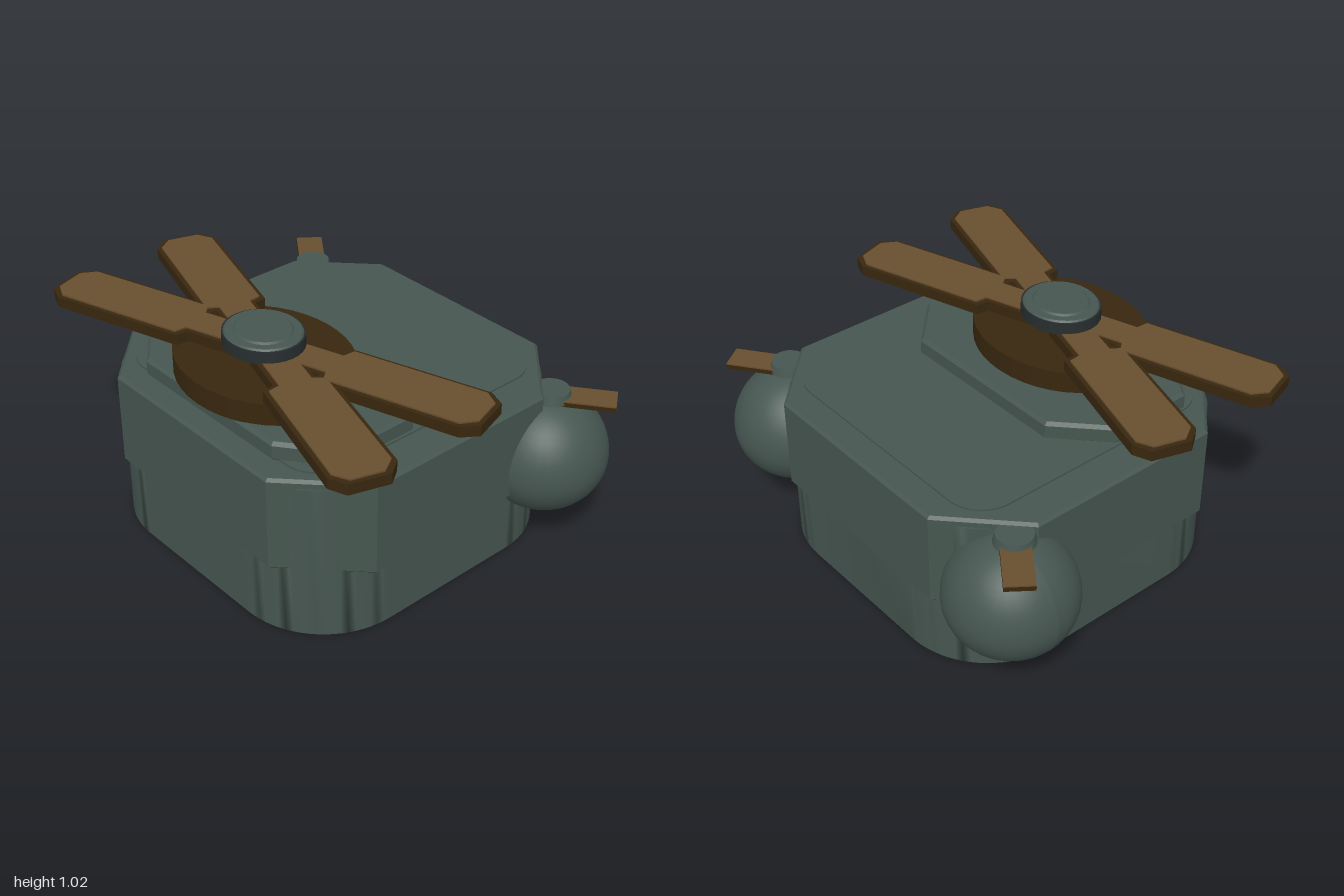
import * as THREE from 'three';
import { mergeVertices, toCreasedNormals } from 'three/addons/utils/BufferGeometryUtils.js';

const paint = (name, color) => Object.assign(new THREE.MeshStandardMaterial({ color }), { name });

// Polygon from [x, z] points
const polygon = pts => new THREE.Shape(pts.map(p => new THREE.Vector2(p[0], p[1])));

// Rectangle with cut corners; cx, cz are the cut sizes
function cutRect(x, z0, z1, cx, czBack, czFront = czBack) {
  return polygon([
    [x, z0 + czBack], [x, z1 - czFront], [x - cx, z1], [cx - x, z1],
    [-x, z1 - czFront], [-x, z0 + czBack], [cx - x, z0], [x - cx, z0],
  ]);
}

// Rectangle with round corners
function roundRect(x, z0, z1, r) {
  const s = new THREE.Shape();
  s.absarc(x - r, z1 - r, r, 0, Math.PI / 2);
  s.absarc(r - x, z1 - r, r, Math.PI / 2, Math.PI);
  s.absarc(r - x, z0 + r, r, Math.PI, Math.PI * 1.5);
  s.absarc(x - r, z0 + r, r, Math.PI * 1.5, Math.PI * 2);
  return s;
}

// Horizontal slab between two heights with an optional small bevel
function slab(shape, y0, y1, bevel = 0) {
  const g = new THREE.ExtrudeGeometry(shape, {
    depth: y1 - y0 - 2 * bevel, curveSegments: 10, bevelEnabled: bevel > 0,
    bevelSize: bevel, bevelThickness: bevel, bevelOffset: -bevel, bevelSegments: 1,
  });
  return g.rotateX(Math.PI / 2).translate(0, y1 - bevel, 0);
}

// Blade outline along +x; inset shrinks it for the top face
function bladeShape(inset) {
  const w = 0.135 - inset, n = 0.085 - inset, tip = 1 - inset, step = 0.33 + inset;
  return polygon([
    [0.07, -n], [step - 0.02, -n], [step, -w], [0.935 - inset / 2, -w], [tip, -n],
    [tip, n], [0.935 - inset / 2, w], [step, w], [step - 0.02, n], [0.07, n],
  ]);
}

export function createModel() {
  const model = new THREE.Group();
  model.name = 'rotorMachine';
  const green = paint('greyGreen', 0x465650);
  const brown = paint('wornBrown', 0x684e2e);
  const darkBrown = paint('darkBrown', 0x38270f);
  const dark = paint('darkGrey', 0x272d2f);

  function add(name, geometry, material, parent = model) {
    const mesh = new THREE.Mesh(geometry, material);
    mesh.name = name;
    parent.add(mesh);
    return mesh;
  }

  // Lower body, softly shaded over all its edges
  let lower = slab(roundRect(0.74, -0.722, 0.75, 0.4), 0, 0.7);
  lower.deleteAttribute('normal');
  lower.deleteAttribute('uv');
  lower = mergeVertices(lower, 1e-4);
  lower.computeVertexNormals();
  add('lowerBody', lower, green);

  // Upper body with cut corners and a raised top
  add('upperBody', slab(cutRect(0.78, -0.73, 0.755, 0.3, 0.29), 0.31, 0.735, 0.012), green);
  add('topPanel', toCreasedNormals(slab(roundRect(0.62, -0.61, 0.64, 0.16), 0.72, 0.743), 0.5), green);

  // Rotor base
  add('rotorBase', slab(cutRect(0.61, -0.075, 0.66, 0.21, 0.2, 0.16), 0.73, 0.815, 0.014), green);
  const rotor = new THREE.Group();
  rotor.name = 'rotor';
  rotor.position.z = 0.365;
  model.add(rotor);
  add('rotorDisc', new THREE.CylinderGeometry(0.412, 0.412, 0.095, 40)
    .scale(1, 1, 0.82).translate(0, 0.8605, 0), darkBrown, rotor);

  // Four blades in a flattened cross, each with a lighter top face
  const tilt = 0.307;
  for (const angle of [tilt, -tilt, Math.PI + tilt, Math.PI - tilt]) {
    const blade = new THREE.Group();
    blade.name = 'blade';
    blade.rotation.y = angle;
    rotor.add(blade);
    add('bladeBody', slab(bladeShape(0), 0.91, 0.956), darkBrown, blade);
    add('bladeTop', slab(bladeShape(0.018), 0.956, 0.963), brown, blade);
  }

  // Hub with a green cap
  add('hub', new THREE.CylinderGeometry(0.178, 0.18, 0.052, 32)
    .scale(1, 1, 0.9).translate(0, 0.985, 0), dark, rotor);
  add('hubCap', new THREE.CylinderGeometry(0.163, 0.17, 0.007, 32)
    .scale(1, 1, 0.91).translate(0, 1.0145, 0), green, rotor);
  add('hubCapCentre', new THREE.CylinderGeometry(0.12, 0.13, 0.008, 32)
    .scale(1, 1, 0.91).translate(0, 1.021, 0), green, rotor);

  // Rear side pods, each with a cap and a small tail blade
  for (const side of [1, -1]) {
    const pod = new THREE.Group();
    pod.name = side > 0 ? 'leftPod' : 'rightPod';
    pod.position.set(side * 0.727, 0, -0.528);
    model.add(pod);
    const ball = new THREE.SphereGeometry(0.273, 40, 28);
    const p = ball.attributes.position;
    for (let i = 0; i < p.count; i++) p.setY(i, p.getY(i) * (p.getY(i) > 0 ? 1.02 : 0.9));
    ball.computeVertexNormals();
    add('podBall', ball.translate(0, 0.41, 0), green, pod);
    add('podCap', new THREE.CylinderGeometry(0.075, 0.085, 0.04, 24)
      .translate(side * 0.018, 0.702, 0), green, pod);
    const tail = new THREE.Group();
    tail.name = 'tailBlade';
    tail.position.set(side * 0.018, 0, 0);
    tail.rotation.y = side > 0 ? 0.64 : Math.PI - 0.64;
    pod.add(tail);
    add('tailBladeBody', new THREE.BoxGeometry(0.25, 0.02, 0.12).translate(0.14, 0.685, 0), darkBrown, tail);
    add('tailBladeTop', new THREE.BoxGeometry(0.25, 0.006, 0.12).translate(0.14, 0.698, 0), brown, tail);
  }
  return model;
}
